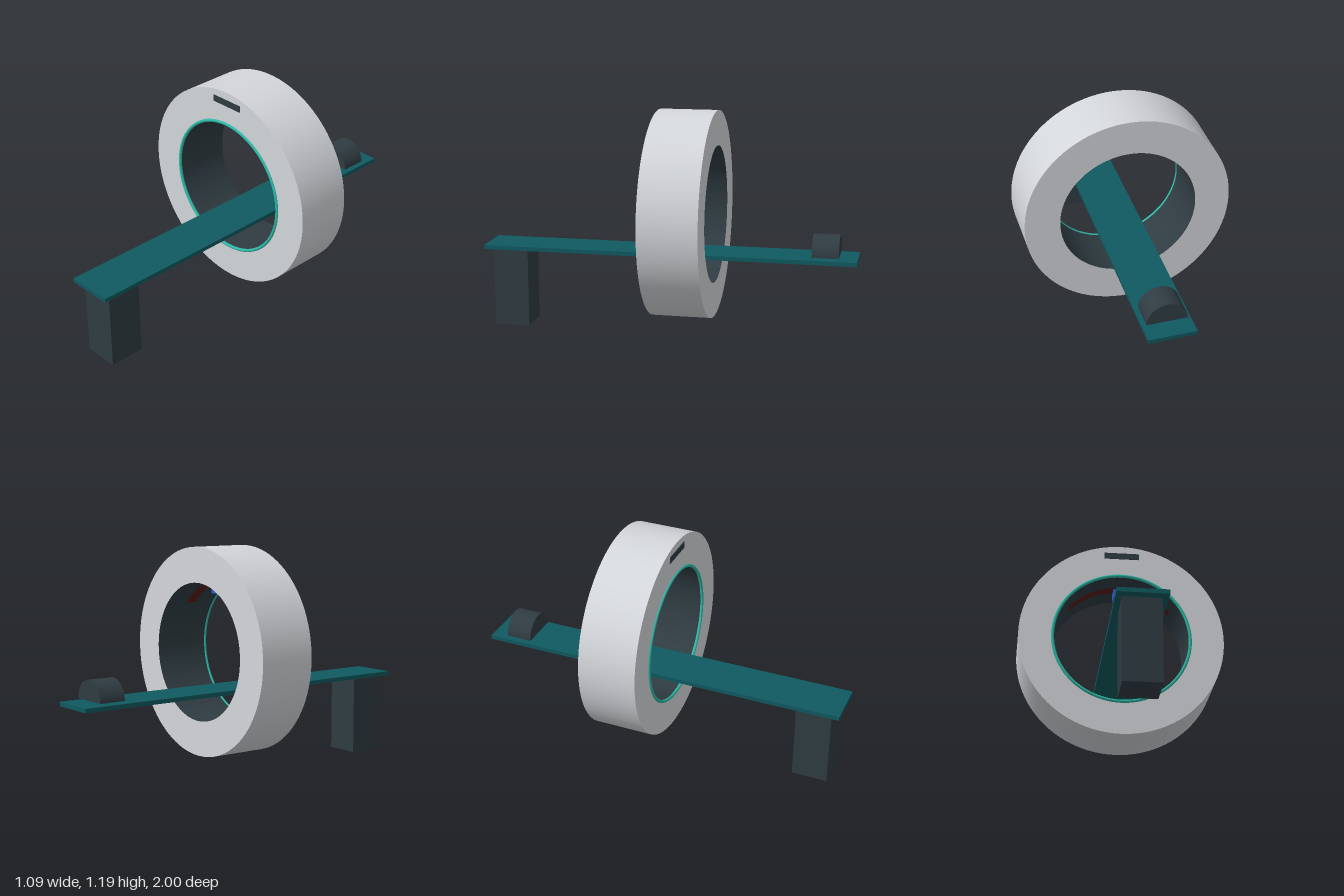
import * as THREE from 'three';

const flat = (name, color) => {
  const m = new THREE.MeshStandardMaterial({ color });
  m.name = name;
  return m;
};

export function createModel() {
  const shellGrey = flat('shell grey', 0xd3d6da);
  const slate = flat('dark slate', 0x2f3c42);
  const deepTeal = flat('deep teal', 0x0f5a60);
  const brightTeal = flat('bright teal', 0x2fb8a6);
  const blue = flat('blue', 0x2f5fd0);
  const darkRed = flat('dark red', 0x5a1a1a);

  const model = new THREE.Group();
  model.name = 'ringScanner';
  const add = (parent, name, geometry, material, x = 0, y = 0, z = 0) => {
    const mesh = new THREE.Mesh(geometry, material);
    mesh.name = name;
    mesh.position.set(x, y, z);
    parent.add(mesh);
    return mesh;
  };

  // Surface of revolution about z, from (radius, z) to (radius, z)
  const band = (from, to, start = 0, sweep = Math.PI * 2) =>
    new THREE.LatheGeometry(
      [new THREE.Vector2(...from), new THREE.Vector2(...to)], 96, start, sweep
    ).rotateX(Math.PI / 2);

  // Gantry ring, centred on the bore axis
  const gantry = new THREE.Group();
  gantry.name = 'gantry';
  gantry.position.y = 0.645;
  model.add(gantry);
  const R = 0.547, r = 0.362, front = 0.06, back = -0.25;
  add(gantry, 'gantryBack', band([r, back], [R, back]), shellGrey);
  add(gantry, 'gantryRim', band([R, back], [R, front]), shellGrey);
  add(gantry, 'gantryFront', band([R, front], [r, front]), shellGrey);
  add(gantry, 'boreLining', band([r, front], [r, back]), slate);
  add(gantry, 'boreTrim', new THREE.TorusGeometry(0.3665, 0.0085, 12, 96), brightTeal, 0, 0, front);

  // Detector strip and source on the upper bore wall
  add(gantry, 'detectorStrip',
    band([r - 0.004, -0.065], [r - 0.004, -0.125], Math.PI - 0.87, 1.74), darkRed);
  add(gantry, 'sourceBox', new THREE.BoxGeometry(0.066, 0.048, 0.075), blue, 0, 0.324, -0.097);

  // Display plate on the front face
  add(gantry, 'displayPanel', new THREE.BoxGeometry(0.19, 0.035, 0.006), slate, 0, 0.488, front);

  // Patient table and its support post
  add(model, 'tableTop', new THREE.BoxGeometry(0.248, 0.022, 2), deepTeal, 0, 0.436, 0);
  add(model, 'supportPost', new THREE.BoxGeometry(0.188, 0.425, 0.19), slate, 0, 0.2125, 0.859);

  // Half-round headrest, set just above the table
  const halfRound = new THREE.Shape();
  halfRound.absarc(0, 0, 0.105, 0, Math.PI, false);
  halfRound.closePath();
  add(model, 'headrest',
    new THREE.ExtrudeGeometry(halfRound, { depth: 0.14, bevelEnabled: false, curveSegments: 32 }),
    slate, 0, 0.458, -0.905);

  return model;
}
